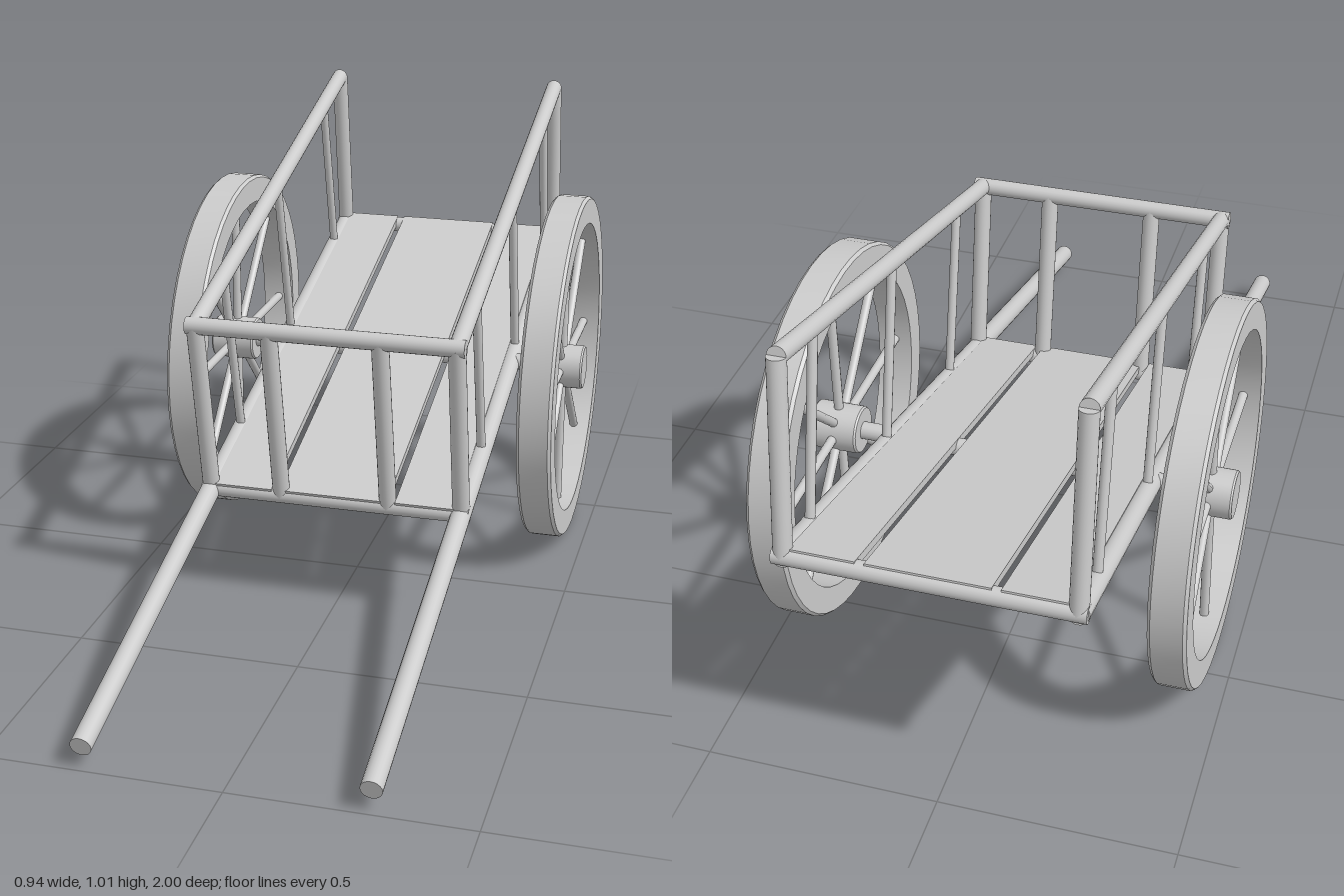
import * as THREE from 'three';
import { toCreasedNormals } from 'three/addons/utils/BufferGeometryUtils.js';

const material = new THREE.MeshStandardMaterial({ color: 0xcccccc });
const V = (x, y, z) => new THREE.Vector3(x, y, z);
const TILT = THREE.MathUtils.degToRad(14.9);
const SLOPE = Math.tan(TILT);

const shaftY = z => 0.053 + (0.995 - z) * SLOPE; // centre line of the long shafts
const railY = z => 0.68 + (0.28 - z) * SLOPE;    // centre line of the top rails

function add(parent, name, geometry) {
  const mesh = new THREE.Mesh(geometry, material);
  mesh.name = name;
  parent.add(mesh);
  return mesh;
}

// Round rod between two points
function rod(parent, name, a, b, radius, sides = 20) {
  const dir = b.clone().sub(a);
  const mesh = add(parent, name, new THREE.CylinderGeometry(radius, radius, dir.length(), sides));
  mesh.position.copy(a).add(b).multiplyScalar(0.5);
  mesh.quaternion.setFromUnitVectors(V(0, 1, 0), dir.normalize());
  return mesh;
}

// Ring or solid of revolution with its axis along x
function turned(parent, name, profile, segments) {
  const points = profile.map(([r, x]) => new THREE.Vector2(r, x));
  const geometry = toCreasedNormals(new THREE.LatheGeometry(points, segments), 0.5);
  return add(parent, name, geometry.rotateZ(-Math.PI / 2));
}

function makeWheel(side) {
  const wheel = new THREE.Group();
  wheel.name = side > 0 ? 'leftWheel' : 'rightWheel';
  // Rim with slightly bevelled outer edges
  turned(wheel, 'rim', [
    [0.352, -0.04], [0.411, -0.04], [0.417, -0.033], [0.417, 0.033],
    [0.411, 0.04], [0.352, 0.04], [0.352, -0.04],
  ], 48);
  // Hub
  turned(wheel, 'hub', [
    [0, -0.054], [0.05, -0.054], [0.053, -0.05], [0.053, 0.05], [0.05, 0.054], [0, 0.054],
  ], 24);
  // Spokes
  for (let i = 0; i < 8; i++) {
    const a = i * Math.PI / 4;
    const c = Math.cos(a), s = Math.sin(a);
    rod(wheel, 'spoke', V(0, c * 0.04, s * 0.04), V(0, c * 0.36, s * 0.36), 0.0105, 12);
  }
  wheel.position.set(side * 0.418, 0.42, -0.385);
  return wheel;
}

export function createModel() {
  const cart = new THREE.Group();
  cart.name = 'handcart';

  const X = 0.291;
  const frontZ = 0.2, rearZ = -0.978, railFrontZ = 0.28, railRearZ = -0.915;

  for (const side of [-1, 1]) {
    const x = side * X;
    // Long shafts running from the handles to the tail
    rod(cart, 'shaft', V(x, shaftY(0.994), 0.994), V(x, shaftY(-0.985), -0.985), 0.0225);
    // Sloping top rail and its corner posts
    rod(cart, 'topRail', V(x, railY(railFrontZ), railFrontZ), V(x, railY(railRearZ), railRearZ), 0.0195);
    rod(cart, 'frontPost', V(x, shaftY(frontZ), frontZ), V(x, railY(railFrontZ), railFrontZ), 0.0195);
    rod(cart, 'rearPost', V(x, shaftY(rearZ), rearZ), V(x, railY(railRearZ), railRearZ), 0.0195);
    // Thin side slats
    for (const topZ of [0.08, -0.335, -0.75]) {
      const footZ = topZ - 0.1;
      rod(cart, 'sideSlat', V(x, shaftY(footZ), footZ), V(x, railY(topZ), topZ), 0.0105, 12);
    }
    // Front slats
    rod(cart, 'frontSlat', V(side * 0.124, shaftY(frontZ), frontZ),
      V(side * 0.124, railY(railFrontZ), railFrontZ), 0.0195);
    cart.add(makeWheel(side));
  }

  // Cross bars
  const crossBar = (name, y, z) => rod(cart, name, V(-0.31, y, z), V(0.31, y, z), 0.0195);
  crossBar('frontTopBar', railY(railFrontZ), railFrontZ);
  crossBar('frontBottomBar', shaftY(frontZ), frontZ);
  crossBar('rearBottomBar', shaftY(rearZ), rearZ);

  // Axle
  rod(cart, 'axle', V(-0.42, 0.42, -0.385), V(0.42, 0.42, -0.385), 0.0195);

  // Floor boards, separated by narrow gaps
  const boardFront = 0.215, boardRear = -0.985;
  const midZ = (boardFront + boardRear) / 2;
  const length = (boardFront - boardRear) / Math.cos(TILT);
  for (const [x, width] of [[-0.211, 0.135], [0, 0.25], [0.211, 0.135]]) {
    const board = add(cart, 'floorBoard', new THREE.BoxGeometry(width, 0.018, length));
    board.position.set(x, shaftY(midZ) + 0.012, midZ);
    board.rotation.x = TILT;
  }

  return cart;
}
